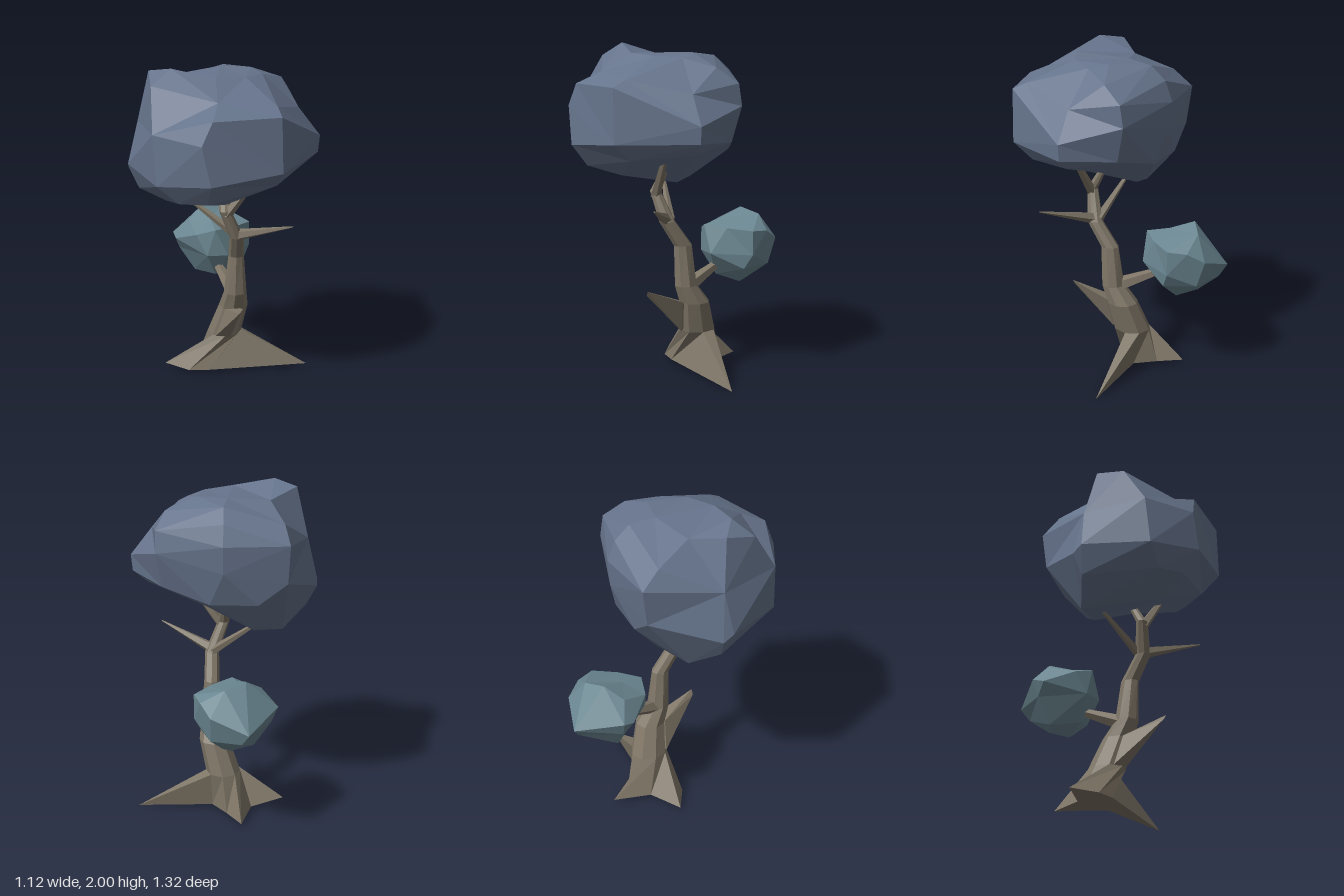
import * as THREE from 'three';
import { ConvexGeometry } from 'three/addons/geometries/ConvexGeometry.js';

const paint = (color) => {
  const m = new THREE.MeshStandardMaterial({ flatShading: true });
  m.color.set(color);
  return m;
};
const vec = (p) => new THREE.Vector3(...p);

// Faceted clump: corners are joined by their directions from the centre, so it may have hollows
function clump(name, centre, points, material) {
  const c = vec(centre);
  const corners = points.map(vec);
  const dirs = corners.map((p) => p.clone().sub(c).normalize());
  const g = new ConvexGeometry(dirs);
  const pos = g.attributes.position, v = new THREE.Vector3();
  for (let i = 0; i < pos.count; i++) {
    v.fromBufferAttribute(pos, i);
    let best = 0;
    dirs.forEach((d, k) => { if (d.dot(v) > dirs[best].dot(v)) best = k; });
    pos.setXYZ(i, ...corners[best].toArray());
  }
  g.computeVertexNormals();
  const mesh = new THREE.Mesh(g, material);
  mesh.name = name;
  return mesh;
}

// Skin over rings of equal length, listed bottom to top, closed at both ends
function loft(rings) {
  const n = rings[0].length, index = [];
  for (let r = 0; r < rings.length - 1; r++) {
    for (let i = 0; i < n; i++) {
      const a = r * n + i, b = r * n + (i + 1) % n;
      index.push(a, b, b + n, a, b + n, a + n);
    }
  }
  const top = (rings.length - 1) * n, last = n - 1;
  for (let i = 0; i < n - 2; i++) {
    index.push(last, i + 1, i, top + last, top + i, top + i + 1);
  }
  const g = new THREE.BufferGeometry();
  g.setAttribute('position', new THREE.Float32BufferAttribute(rings.flat(2), 3));
  g.setIndex(index);
  const flat = g.toNonIndexed();
  flat.computeVertexNormals();
  return flat;
}

// Tapered five-sided branch between two points
function branch(name, from, to, r0, r1, material) {
  const a = vec(from), dir = vec(to).sub(a);
  const g = new THREE.CylinderGeometry(r1, r0, dir.length(), 5);
  const mesh = new THREE.Mesh(g, material);
  mesh.position.copy(a).addScaledVector(dir, 0.5);
  mesh.quaternion.setFromUnitVectors(new THREE.Vector3(0, 1, 0), dir.normalize());
  mesh.name = name;
  return mesh;
}

export function createModel() {
  const tree = new THREE.Group();
  tree.name = 'tree';
  const bark = paint(0x7f7667), leaf = paint(0x66748c), shrubLeaf = paint(0x6b8791);

  // Trunk: three root spikes, then rings as [y, centre x, centre z, radius x, radius z]
  const roots = [
    [0.53, 0.005, -0.11], [0.07, 0.03, -0.14], [-0.02, 0.03, -0.26], [-0.11, 0.03, -0.4],
    [-0.17, 0.03, -0.17], [-0.37, 0.04, -0.06], [-0.22, 0.03, 0.03], [-0.1, 0.03, 0.03],
  ];
  const rings = [
    [0.25, 0.005, -0.1, 0.105, 0.115],
    [0.44, 0.06, -0.06, 0.09, 0.095],
    [0.55, 0.07, 0, 0.07, 0.07],
    [0.8, 0.075, 0.02, 0.047, 0.058],
    [0.95, 0.075, 0.12, 0.043, 0.05],
    [1.13, 0.005, 0.17, 0.036, 0.034],
    [1.28, -0.005, 0.09, 0.022, 0.022],
  ].map(([y, cx, cz, rx, rz]) => roots.map((_, i) => {
    const a = i * Math.PI / 4;
    return [cx + rx * Math.cos(a), y, cz - rz * Math.sin(a)];
  }));
  const trunk = new THREE.Mesh(loft([roots, ...rings]), bark);
  trunk.name = 'trunk';
  tree.add(trunk);

  // Branches
  tree.add(
    branch('leftBranch', [0.06, 0.96, 0.12], [0.395, 1.08, 0.32], 0.038, 0.004, bark),
    branch('rightBranch', [0.07, 0.96, 0.1], [-0.2, 1.16, 0.04], 0.03, 0.012, bark),
    branch('upperBranch', [0.01, 1.1, 0.17], [0.18, 1.33, 0.18], 0.032, 0.02, bark),
    branch('shrubBranch', [0.06, 0.54, -0.02], [-0.05, 0.65, -0.28], 0.048, 0.022, bark),
  );

  // Broken stub leaning out of the front
  const stub = new THREE.Mesh(new ConvexGeometry([
    [-0.05, 0.25, 0], [0.04, 0.25, 0.015], [0.1, 0.45, 0.03], [0.01, 0.44, 0.02],
    [0.03, 0.35, -0.06], [0.11, 0.54, 0.26], [0.09, 0.51, 0.26],
  ].map(vec)), bark);
  stub.name = 'brokenStub';
  tree.add(stub);

  // Main crown
  tree.add(clump('crown', [0, 1.55, 0.15], [
    // top
    [-0.43, 1.97, 0.17], [-0.3, 2, 0.27], [-0.05, 1.95, 0.3], [-0.02, 1.95, -0.06],
    [0.16, 1.95, -0.02], [0.22, 1.93, 0.08], [0.12, 1.94, 0.22], [-0.27, 1.92, 0.02],
    // front
    [-0.41, 1.92, 0.36], [-0.04, 1.85, 0.48], [0.29, 1.82, 0.45], [0.31, 1.78, 0.53],
    [-0.07, 1.78, 0.63], [-0.13, 1.65, 0.66], [-0.4, 1.68, 0.51], [0.32, 1.46, 0.53],
    [0.29, 1.36, 0.42], [-0.08, 1.42, 0.66], [-0.1, 1.29, 0.56], [-0.38, 1.39, 0.53],
    [-0.26, 1.28, 0.5],
    // sides
    [0.34, 1.88, -0.08], [0.43, 1.74, 0.1], [0.56, 1.57, 0.1], [0.55, 1.47, 0.1],
    [0.46, 1.4, 0.1], [-0.56, 1.38, 0.1], [-0.56, 1.42, 0.165], [-0.5, 1.26, 0.12],
    [-0.5, 1.67, 0.13],
    // back
    [-0.35, 1.83, -0.2], [0, 1.93, -0.21], [0, 1.85, -0.3], [-0.38, 1.73, -0.31],
    [0, 1.73, -0.345], [0, 1.57, -0.335], [-0.37, 1.5, -0.28], [0.39, 1.79, -0.2],
    [0.39, 1.66, -0.22], [0.36, 1.45, -0.17], [-0.2, 1.37, -0.28], [0.08, 1.37, -0.27],
    // underside
    [-0.18, 1.14, -0.04], [-0.35, 1.14, -0.01], [-0.16, 1.18, -0.12], [0.11, 1.28, 0],
    [0, 1.235, 0.38],
  ], leaf));

  // Small leaf clump behind the trunk
  tree.add(clump('backClump', [-0.06, 0.74, -0.4], [
    [-0.13, 0.97, -0.45], [-0.01, 0.94, -0.52], [-0.22, 0.9, -0.36], [-0.08, 0.92, -0.31],
    [-0.05, 0.89, -0.17], [0.07, 0.88, -0.27], [0.17, 0.87, -0.4], [0.13, 0.86, -0.51],
    [-0.32, 0.8, -0.41], [-0.3, 0.78, -0.34], [-0.17, 0.85, -0.2], [0.07, 0.8, -0.6],
    [-0.15, 0.72, -0.66], [-0.11, 0.65, -0.62], [0.17, 0.72, -0.4], [0.13, 0.63, -0.36],
    [0.07, 0.64, -0.55], [-0.28, 0.7, -0.4], [-0.18, 0.55, -0.39], [0, 0.52, -0.39],
    [-0.05, 0.565, -0.51], [-0.05, 0.57, -0.25], [-0.1, 0.72, -0.17], [0.03, 0.72, -0.18],
  ], shrubLeaf));

  return tree;
}
